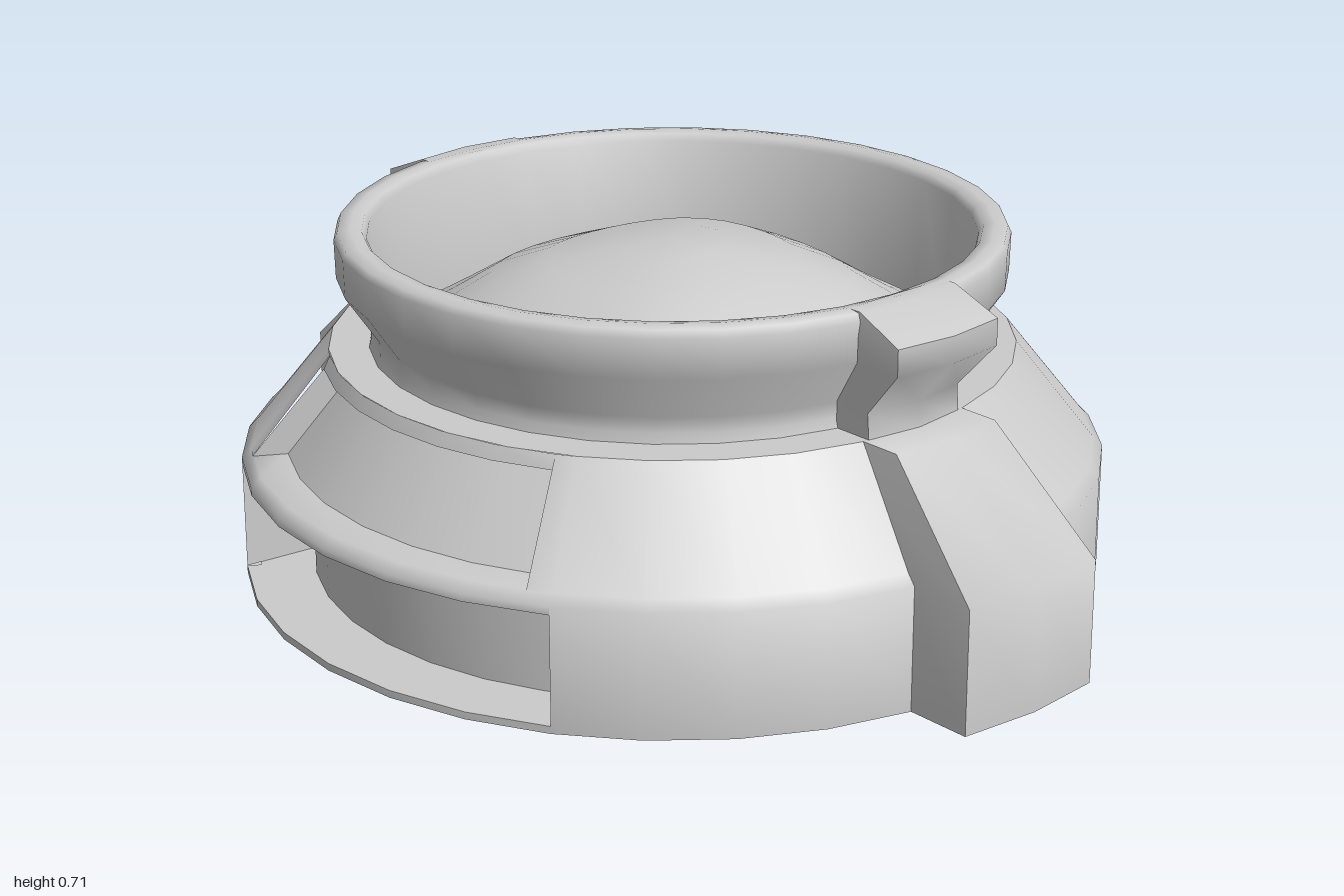
import * as THREE from 'three';
import { mergeGeometries, toCreasedNormals } from 'three/addons/utils/BufferGeometryUtils.js';

const STEP = Math.PI / 16; // 32 sides all round
const CREASE = 1.1;
const grey = new THREE.MeshStandardMaterial({ color: 0xcccccc });
const greyThin = new THREE.MeshStandardMaterial({ color: 0xcccccc, side: THREE.DoubleSide });
const vectors = (points) => points.map(([r, y]) => new THREE.Vector2(r, y));

// Part of a turned ring; angle 0 is the front, +90 degrees the left side.
function sector(points, from, to, segments) {
  return new THREE.LatheGeometry(vectors(points), segments, from, to - from);
}

// Flat wall standing in the radial plane at an angle.
function radialWall(points, angle) {
  return new THREE.ShapeGeometry(new THREE.Shape(vectors(points))).rotateY(angle - Math.PI / 2);
}

// Upright rectangle between two points given as [radius, angle].
function uprightWall([r0, a0], [r1, a1], bottom, top) {
  const x0 = r0 * Math.sin(a0), z0 = r0 * Math.cos(a0);
  const x1 = r1 * Math.sin(a1), z1 = r1 * Math.cos(a1);
  return new THREE.PlaneGeometry(Math.hypot(x1 - x0, z1 - z0), top - bottom)
    .rotateY(Math.atan2(z0 - z1, x1 - x0))
    .translate((x0 + x1) / 2, (bottom + top) / 2, (z0 + z1) / 2);
}

// Solid pointing to +x from sections [y, innerX, outerX, halfWidth].
function loftLug(sections) {
  const pos = [], index = [], n = 5;
  for (const [y, inner, outer, w] of sections) {
    const corner = outer - 0.015;
    for (const [x, z] of [[inner, w], [corner, w], [outer, 0], [corner, -w], [inner, -w]]) pos.push(x, y, z);
  }
  for (let i = 0; i < sections.length - 1; i++) {
    for (let j = 0; j < n - 1; j++) {
      const a = i * n + j, b = a + 1, c = b + n, d = a + n;
      index.push(a, b, d, b, c, d);
    }
  }
  const top = (sections.length - 1) * n;
  for (let j = 1; j < n - 1; j++) {
    index.push(top, top + j, top + j + 1);
    index.push(0, j + 1, j);
  }
  const g = new THREE.BufferGeometry();
  g.setAttribute('position', new THREE.Float32BufferAttribute(pos, 3));
  g.setIndex(index);
  return toCreasedNormals(g, CREASE);
}

export function createModel() {
  const model = new THREE.Group();
  const add = (name, geometry, material = grey) => {
    const mesh = new THREE.Mesh(geometry, material);
    mesh.name = name;
    model.add(mesh);
    return mesh;
  };

  const wide = 3 * STEP;    // half angle of the lower window
  const deep = 0.69;        // half angle of its back wall, so the sides run straight in
  const narrow = 0.532;     // half angle of the upper window
  const slope = [[0.845, 0.27], [0.685, 0.47]];
  const upperRecess = [[0.775, 0.27], [0.648, 0.425], [0.698, 0.443]];

  // Body shell: plain sides, with a lower and an upper window front and back
  const shell = [], recesses = [], walls = [];
  for (const turn of [0, Math.PI]) {
    shell.push(sector([[0.865, 0], [0.865, 0.25], ...slope], turn + wide, turn + Math.PI - wide, 10));
    shell.push(sector([[0.865, 0], [0.865, 0.015], [0.83, 0.015]], turn - wide, turn + wide, 6));
    shell.push(sector([[0.83, 0.235], [0.865, 0.235], [0.865, 0.25], [0.845, 0.27], [0.765, 0.27]],
      turn - wide, turn + wide, 6));
    shell.push(sector([...upperRecess, [0.685, 0.47]], turn - narrow, turn + narrow, 6));
    recesses.push(sector([[0.84, 0.015], [0.73, 0.015], [0.73, 0.235], [0.84, 0.235]],
      turn - deep, turn + deep, 8));
    for (const s of [-1, 1]) {
      const a = turn + s * narrow, b = turn + s * wide;
      shell.push(sector(slope, Math.min(a, b), Math.max(a, b), 1));
      walls.push(uprightWall([0.865, b], [0.73, turn + s * deep], 0.015, 0.235));
      walls.push(radialWall([...upperRecess, [0.845, 0.27]], a));
    }
  }
  add('bodyShell', toCreasedNormals(mergeGeometries(shell), CREASE));
  add('windowRecesses', toCreasedNormals(mergeGeometries(recesses), CREASE), greyThin);
  add('windowSideWalls', mergeGeometries(walls), greyThin);
  add('bottomPlate', new THREE.CircleGeometry(0.865, 32).rotateX(Math.PI / 2), greyThin);

  // Shoulder, neck, flared collar and inner wall in one turned profile
  const collar = [[0.685, 0.47], [0.605, 0.47], [0.6, 0.49], [0.6, 0.52], [0.665, 0.617],
    [0.667, 0.695], [0.66, 0.71], [0.635, 0.714], [0.612, 0.71], [0.603, 0.695], [0.585, 0.45]];
  add('collar', toCreasedNormals(sector(collar, 0, 2 * Math.PI, 32), CREASE), greyThin);

  // Softly uneven mound inside the collar
  const mound = sector([[0.587, 0.45], [0.46, 0.525], [0.36, 0.59], [0.25, 0.635], [0.12, 0.655], [0, 0.66]],
    0, 2 * Math.PI, 32);
  const p = mound.attributes.position;
  for (let i = 0; i < p.count; i++) {
    const x = p.getX(i), z = p.getZ(i);
    const fade = Math.max(0, 1 - (x * x + z * z) / 0.34);
    p.setY(i, p.getY(i) + 0.015 * fade * Math.sin(9 * x + 1) * Math.cos(8 * z));
  }
  add('mound', toCreasedNormals(mound, CREASE), greyThin);

  // Side blocks on the body and matching lugs on the collar
  const block = loftLug([[0, 0.82, 1, 0.168], [0.25, 0.82, 1, 0.168], [0.47, 0.6, 0.772, 0.13]]);
  const lug = loftLug([[0.465, 0.59, 0.69, 0.118], [0.52, 0.59, 0.685, 0.118], [0.617, 0.62, 0.77, 0.13],
    [0.67, 0.62, 0.77, 0.13], [0.713, 0.62, 0.665, 0.124]]);
  for (const [side, turn] of [['left', 0], ['right', Math.PI]]) {
    add(side + 'Block', block, greyThin).rotation.y = turn;
    add(side + 'CollarLug', lug, greyThin).rotation.y = turn;
  }
  return model;
}
